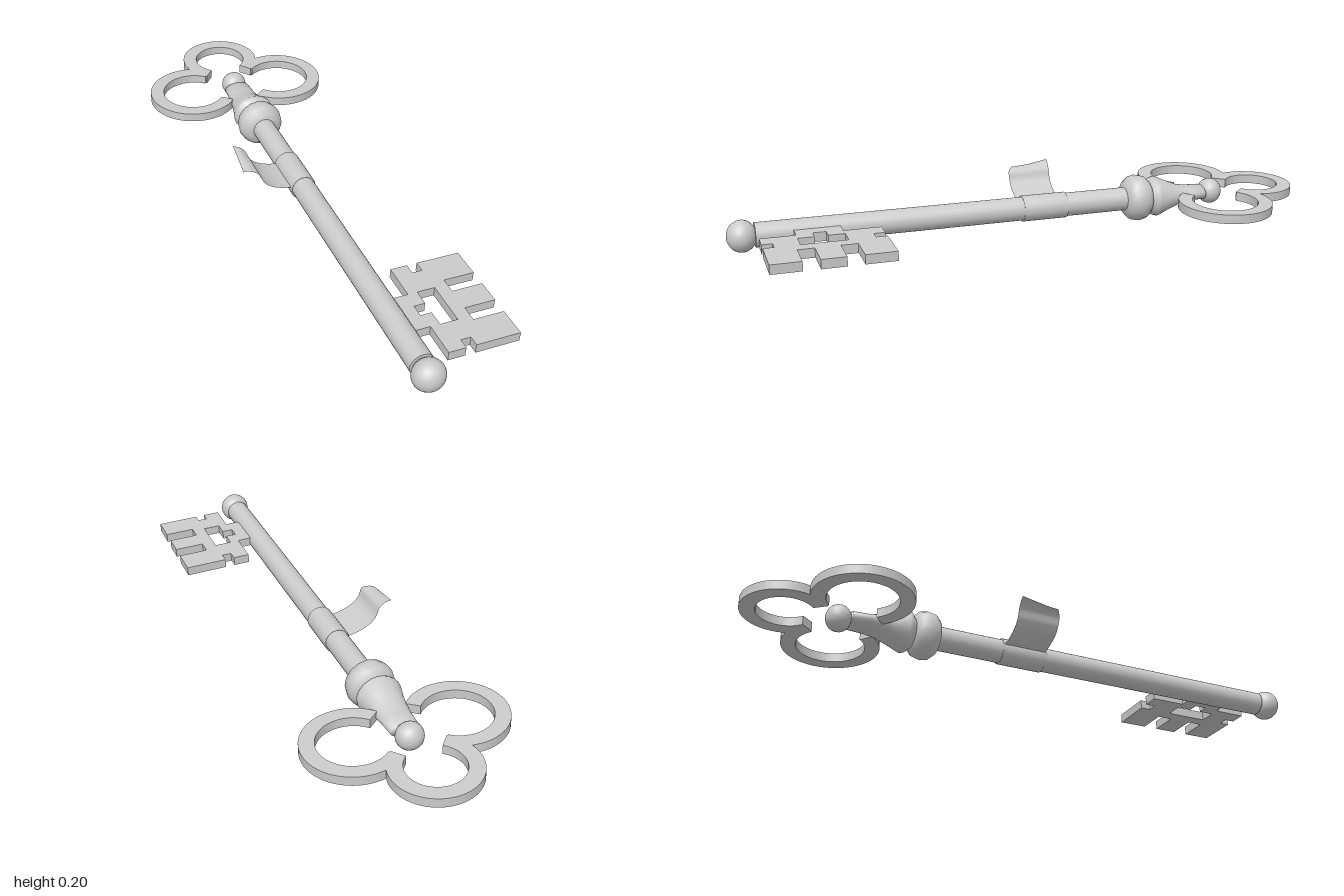
import * as THREE from 'three';

const AXIS_X = 0.004, AXIS_Y = 0.082;
const grey = new THREE.MeshStandardMaterial({ color: 0xcccccc });
const thin = new THREE.MeshStandardMaterial({ color: 0xcccccc, side: THREE.DoubleSide });

function add(parent, name, geometry, material = grey) {
  const mesh = new THREE.Mesh(geometry, material);
  mesh.name = name;
  parent.add(mesh);
  return mesh;
}

// Turned part along z; sections are [z, half width, half height], ascending in z
function turned(sections, sides = 24) {
  const geo = new THREE.LatheGeometry(sections.map(([z, r]) => new THREE.Vector2(r, z)), sides);
  geo.rotateX(Math.PI / 2);
  const pos = geo.attributes.position;
  for (let i = 0; i < pos.count; i++) {
    const [, rx, ry = rx] = sections[i % sections.length];
    if (rx > 0) pos.setY(i, pos.getY(i) * ry / rx);
  }
  if (sections.some((s) => s.length > 2)) geo.computeVertexNormals();
  return geo;
}

// Flat plate drawn in x and z, centred on the key's plane
function plate(shape, thickness = 0.031) {
  const geo = new THREE.ExtrudeGeometry(shape, { depth: thickness, bevelEnabled: false, curveSegments: 36 });
  geo.rotateX(Math.PI / 2);
  geo.translate(0, thickness / 2, 0);
  return geo;
}

// Open ring segment of the bow, angles in degrees
function arcBand(cx, cz, outer, inner, from, to) {
  const a = THREE.MathUtils.degToRad(from), b = THREE.MathUtils.degToRad(to);
  const shape = new THREE.Shape();
  shape.absarc(cx, cz, outer, a, b, false);
  shape.absarc(cx, cz, inner, b, a, true);
  shape.closePath();
  return plate(shape);
}

const points = (list) => list.map(([x, z]) => new THREE.Vector2(x, z));

export function createModel() {
  const model = new THREE.Group();
  model.name = 'key';

  // Everything flat lies in a slightly rolled plane around the shaft
  const body = new THREE.Group();
  body.name = 'keyBody';
  body.position.set(AXIS_X, AXIS_Y, 0);
  body.rotation.z = -0.035;
  model.add(body);

  // Shaft and rounded tip
  add(body, 'shaft', turned([[-0.46, 0.04], [0.908, 0.04]]));
  add(body, 'shaftEnd', new THREE.CircleGeometry(0.04, 24)).position.z = 0.908;
  const tip = add(body, 'tipBall', new THREE.SphereGeometry(0.052, 24, 16));
  tip.rotation.x = Math.PI / 2;
  tip.scale.y = 0.92;
  tip.position.z = 0.948;

  // Collar between shaft and bow
  add(body, 'collar', turned([
    [-0.45, 0.04], [-0.445, 0.06], [-0.43, 0.075], [-0.405, 0.081],
    [-0.38, 0.076], [-0.363, 0.06], [-0.357, 0.04],
  ], 16));

  // Flattened post, flaring towards the collar, with a small knob
  add(body, 'post', turned([
    [-0.655, 0, 0], [-0.655, 0.047, 0.024], [-0.6, 0.05, 0.026], [-0.56, 0.055, 0.033],
    [-0.52, 0.062, 0.05], [-0.475, 0.074, 0.07], [-0.462, 0.072, 0.066], [-0.44, 0.045, 0.045],
  ]));
  const knob = add(body, 'knob', new THREE.SphereGeometry(0.045, 20, 14));
  knob.rotation.x = Math.PI / 2;
  knob.scale.y = 0.92;
  knob.position.z = -0.69;

  // Trefoil bow
  add(body, 'bowTopLobe', arcBand(0, -0.859, 0.141, 0.092, 129, 411));
  add(body, 'bowRightLobe', arcBand(-0.169, -0.664, 0.16, 0.112, 40, 311));
  add(body, 'bowLeftLobe', arcBand(0.169, -0.664, 0.16, 0.112, -131, 140));

  // Bit with notched edges, three prongs and a stepped window
  const bit = new THREE.Shape(points([
    [0.02, 0.643], [0.085, 0.643], [0.085, 0.521], [0.142, 0.521], [0.142, 0.558], [0.175, 0.558],
    [0.175, 0.521], [0.321, 0.521], [0.321, 0.622], [0.218, 0.622], [0.218, 0.675], [0.321, 0.675],
    [0.321, 0.754], [0.218, 0.754], [0.218, 0.807], [0.321, 0.807], [0.321, 0.904], [0.175, 0.904],
    [0.175, 0.87], [0.142, 0.87], [0.142, 0.904], [0.085, 0.904], [0.085, 0.791], [0.02, 0.791],
  ]));
  bit.holes.push(new THREE.Path(points([
    [0.116, 0.643], [0.116, 0.696], [0.079, 0.696], [0.079, 0.738],
    [0.116, 0.738], [0.116, 0.791], [0.175, 0.791], [0.175, 0.643],
  ])));
  add(body, 'bit', plate(bit));

  // Thin sleeve wrapped round the shaft
  add(body, 'sleeve', turned([[-0.135, 0.039], [-0.135, 0.044], [0.02, 0.044], [0.02, 0.039]]));

  // Curled flag leaving the sleeve: a ruled sheet between two edge curves
  const edge = (list) => new THREE.CatmullRomCurve3(list.map((p) => new THREE.Vector3(...p)));
  const stem = [[-0.037, 0.09], [-0.065, 0.096], [-0.095, 0.107], [-0.122, 0.124], [-0.138, 0.145], [-0.148, 0.172]];
  const front = edge([...stem.map(([x, y]) => [x, y, 0.015]),
    [-0.165, 0.181, 0.004], [-0.182, 0.182, -0.008], [-0.194, 0.173, -0.02]]);
  const back = edge([...stem.map(([x, y]) => [x, y, -0.133]),
    [-0.158, 0.184, -0.134], [-0.17, 0.193, -0.136], [-0.188, 0.198, -0.139]]);
  const sheet = new THREE.PlaneGeometry(1, 1, 32, 4);
  const pos = sheet.attributes.position;
  for (let i = 0; i < pos.count; i++) {
    const u = pos.getX(i) + 0.5, v = pos.getY(i) + 0.5;
    const p = back.getPoint(u).lerp(front.getPoint(u), v);
    pos.setXYZ(i, p.x, p.y, p.z);
  }
  sheet.computeVertexNormals();
  add(model, 'flag', sheet, thin);

  return model;
}
